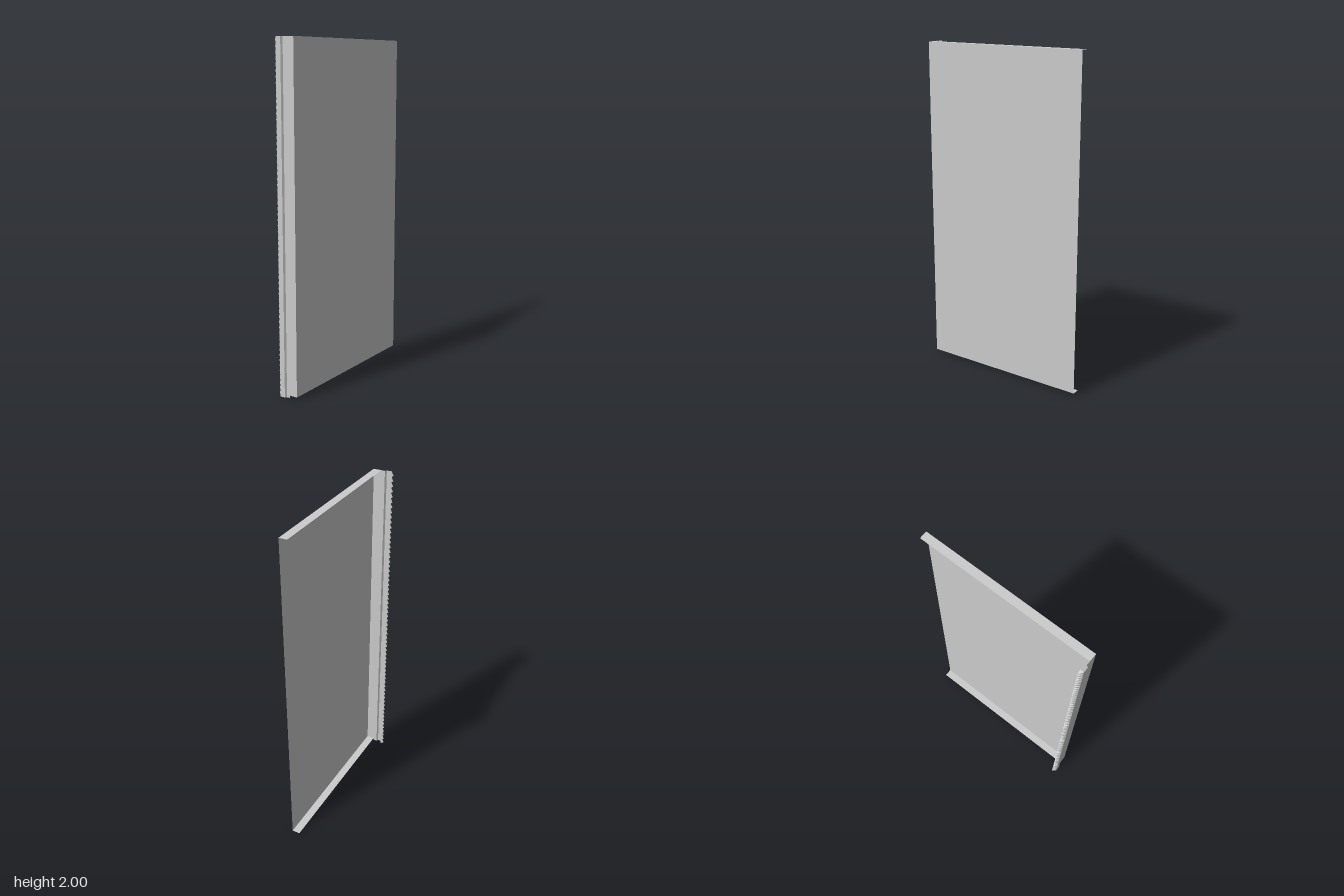
import * as THREE from 'three';

const material = new THREE.MeshStandardMaterial({
  color: 0xcccccc, flatShading: true, side: THREE.DoubleSide,
});

// Flat-faced mesh from corner points and index triples.
function facets(name, points, index) {
  const indexed = new THREE.BufferGeometry();
  indexed.setAttribute('position', new THREE.Float32BufferAttribute(points.flat(), 3));
  indexed.setIndex(index);
  const geometry = indexed.toNonIndexed();
  geometry.computeVertexNormals();
  const mesh = new THREE.Mesh(geometry, material);
  mesh.name = name;
  return mesh;
}

// Thin folded sheet: an [x, z] profile swept from y0 to y1.
function foldedSheet(name, profile, y0, y1) {
  const points = [], index = [];
  profile.forEach(([x, z], i) => {
    points.push([x, y0, z], [x, y1, z]);
    if (i) {
      const k = 2 * i;
      index.push(k - 2, k, k + 1, k - 2, k + 1, k - 1);
    }
  });
  return facets(name, points, index);
}

export function createModel() {
  const group = new THREE.Group();
  group.name = 'flangedPanel';
  const top = 2, bottom = 0.015;
  const outer = 0.065, inner = 0.017, front = 0.515, back = -0.526;
  const stripZ = 0.526, root = -0.044, tip = -0.066, rearZ = 0.504;

  // Main sheet with its front edge folded inward
  group.add(foldedSheet('panel', [[outer, back], [outer, front], [inner, front]], bottom, top));

  // Top and bottom flanges
  for (const [name, y] of [['topFlange', top], ['bottomFlange', bottom]]) {
    group.add(facets(name,
      [[inner, y, back], [inner, y, front], [outer, y, front], [outer, y, back]],
      [0, 1, 2, 0, 2, 3]));
  }

  // Stepped edge strip with a return that carries the teeth
  group.add(foldedSheet('edgeStrip', [
    [inner, front], [-0.006, front], [-0.013, stripZ], [root, stripZ], [root, rearZ],
  ], 0, top));

  // Row of pointed teeth, swept back from the strip's corner
  const count = 62, pitch = top / count;
  const points = [], index = [];
  for (let i = 0; i < count; i++) {
    const y0 = i * pitch, y1 = y0 + pitch, k = points.length;
    points.push([root, y0, stripZ], [root, y1, stripZ], [root, y0, rearZ],
      [root, y1, rearZ], [tip, (y0 + y1) / 2, rearZ]);
    index.push(k, k + 1, k + 4, k + 1, k + 3, k + 4, k + 3, k + 2, k + 4, k + 2, k, k + 4);
  }
  group.add(facets('teeth', points, index));

  return group;
}
